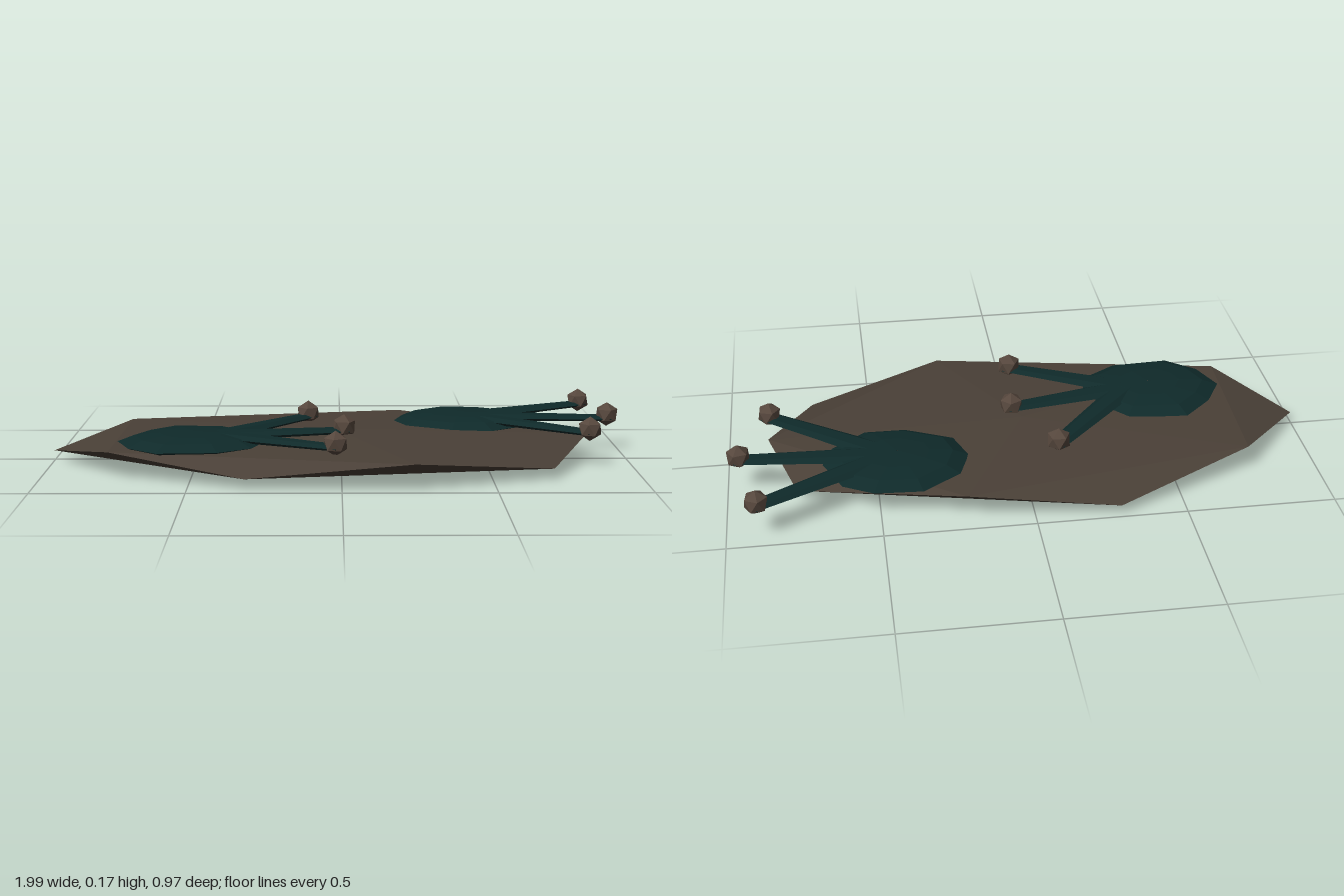
import * as THREE from 'three';

const stone = new THREE.MeshStandardMaterial({ name: 'stoneBrown', color: 0x4a4037, flatShading: true });
const skin = new THREE.MeshStandardMaterial({ name: 'darkTeal', color: 0x0f2a2a, flatShading: true });
const padBrown = new THREE.MeshStandardMaterial({ name: 'toePadBrown', color: 0x56473d, flatShading: true });

function fromTriangles(tris) {
  const geo = new THREE.BufferGeometry();
  geo.setAttribute('position', new THREE.Float32BufferAttribute(tris.flat(2), 3));
  geo.computeVertexNormals();
  return geo;
}

// Twelve-point faceted stone: two poles and a zigzag ring (even points high, odd points low)
function facetedStone(ring, top, bottom, yHigh, yLow) {
  const p = ring.map(([x, z], i) => [x, i % 2 ? yLow : yHigh, z]);
  const tris = [];
  for (let i = 0; i < 10; i++) {
    const a = p[i], b = p[(i + 1) % 10], c = p[(i + 2) % 10];
    if (i % 2) tris.push([a, c, b], [bottom, c, a]);
    else tris.push([a, b, c], [top, a, c]);
  }
  return fromTriangles(tris);
}

// Flattened cushion whose widest section follows an outline
function cushion(outline, cx, cz, y, h) {
  const rings = [[0.01, 1], [0.45, 0.88], [0.78, 0.62], [1, 0], [0.78, -0.62], [0.45, -0.88], [0.01, -1]]
    .map(([s, k]) => outline.map(([x, z]) => [cx + (x - cx) * s, y + h * k, cz + (z - cz) * s]));
  const tris = [];
  for (let r = 0; r < rings.length - 1; r++) {
    for (let i = 0; i < outline.length; i++) {
      const j = (i + 1) % outline.length;
      const a = rings[r][i], b = rings[r][j], c = rings[r + 1][i], d = rings[r + 1][j];
      tris.push([a, c, d], [a, d, b]);
    }
  }
  return fromTriangles(tris);
}

function addMesh(parent, name, geo, mat) {
  const m = new THREE.Mesh(geo, mat);
  m.name = name;
  parent.add(m);
  return m;
}

// Webbed foot: palm, tapered flat toes and round toe pads
function foot(name, outline, palm, knuckle, tips) {
  const g = new THREE.Group();
  g.name = name;
  addMesh(g, 'palm', cushion(outline, palm[0], palm[1], 0.096, 0.035), skin);
  const R = 0.043;
  const ring = Array.from({ length: 10 }, (_, i) => {
    const a = (i * Math.PI) / 5;
    return [Math.cos(a) * R * 0.894, -Math.sin(a) * R * 0.894];
  });
  const padGeo = facetedStone(ring, [0, R, 0], [0, -R, 0], R * 0.447, -R * 0.447);
  for (const [x, z] of tips) {
    const dx = x - knuckle[0], dz = z - knuckle[1];
    const len = Math.hypot(dx, dz) + 0.015;
    const yaw = Math.atan2(-dz, dx);
    const toeGeo = new THREE.CylinderGeometry(0.032, 0.05, len, 6);
    toeGeo.rotateZ(-Math.PI / 2).translate(len / 2, 0, 0).scale(1, 0.32, 1);
    const toe = addMesh(g, 'toe', toeGeo, skin);
    toe.position.set(knuckle[0], 0.114, knuckle[1]);
    toe.rotation.y = yaw;
    const pad = addMesh(g, 'toePad', padGeo, padBrown);
    pad.position.set(x, 0.128, z);
    pad.rotation.y = yaw;
  }
  return g;
}

export function createModel() {
  const model = new THREE.Group();
  model.name = 'footprintsOnStone';

  // Flat stone slab
  const slabRing = [
    [0.86, 0], [0.77, -0.25], [0.22, -0.445], [-0.28, -0.487], [-0.76, -0.275],
    [-1, 0.015], [-0.775, 0.295], [-0.315, 0.455], [0.235, 0.482], [0.705, 0.31],
  ];
  addMesh(model, 'slab', facetedStone(slabRing, [-0.02, 0.108, 0], [-0.05, 0, 0], 0.089, 0.035), stone);

  // Two feet, outlines run counter-clockwise from above
  model.add(foot('rightFoot',
    [[-0.25, 0.15], [-0.32, 0.03], [-0.39, -0.04], [-0.6, -0.055], [-0.7, 0.04],
      [-0.76, 0.15], [-0.71, 0.27], [-0.61, 0.35], [-0.41, 0.34], [-0.3, 0.27]],
    [-0.5, 0.15], [-0.42, 0.14], [[-0.117, -0.2], [0.01, 0.06], [-0.02, 0.342]]));
  model.add(foot('leftFoot',
    [[0.68, -0.2], [0.62, -0.34], [0.52, -0.395], [0.36, -0.405], [0.23, -0.315],
      [0.19, -0.2], [0.225, -0.09], [0.39, -0.012], [0.53, -0.01], [0.645, -0.1]],
    [0.43, -0.2], [0.45, -0.195], [[0.897, -0.438], [0.956, -0.157], [0.853, 0.107]]));

  return model;
}
